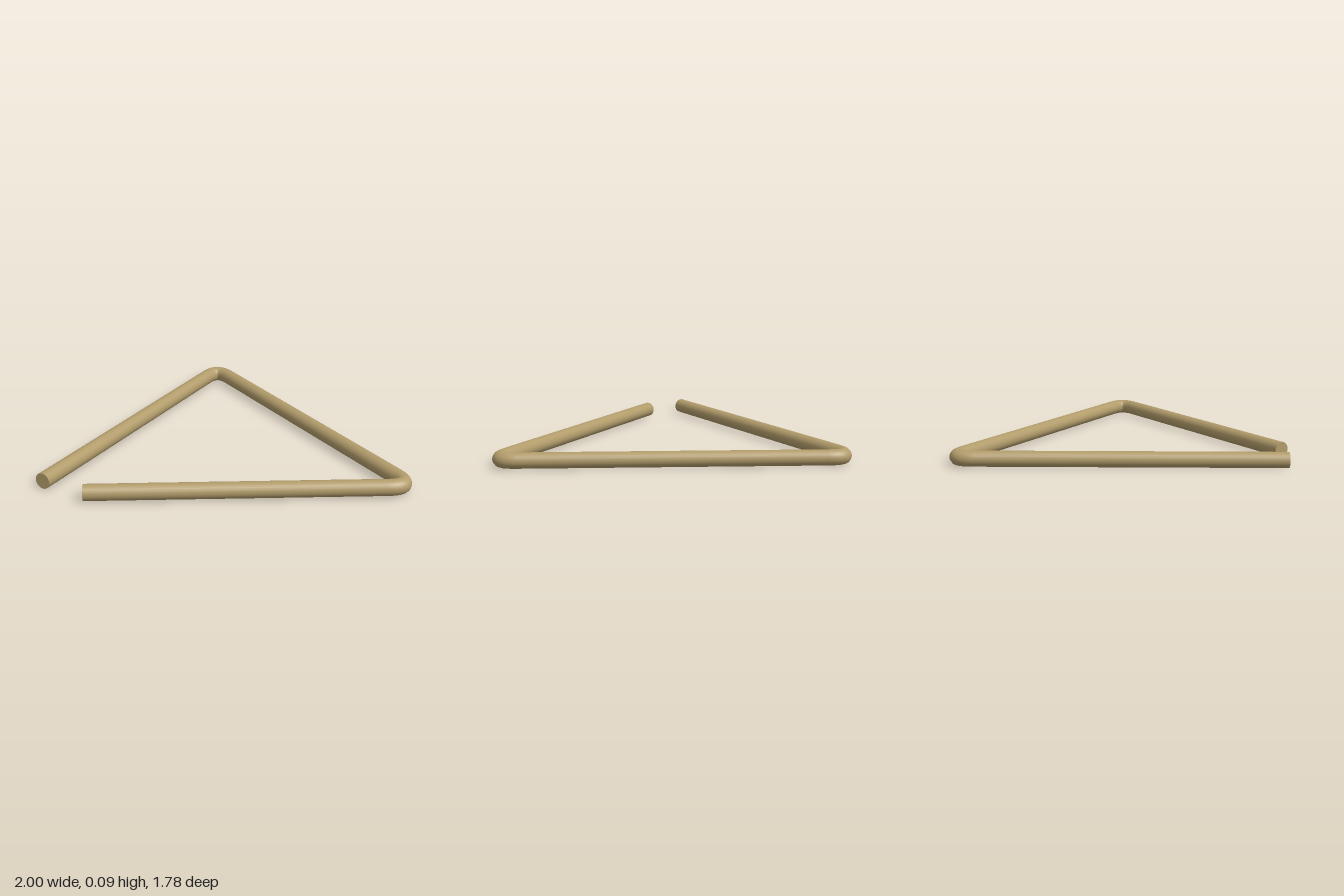
import * as THREE from 'three';

const R = 0.045;      // rod radius
const BEND = 0.14;    // distance from a corner at which the bend starts
const SIDES = 24;

export function createModel() {
  const group = new THREE.Group();
  group.name = 'triangleInstrument';
  const brass = new THREE.MeshStandardMaterial({ color: 0xb29c6b });
  brass.name = 'brass';

  const add = (geometry, name) => {
    const mesh = new THREE.Mesh(geometry, brass);
    mesh.name = name;
    group.add(mesh);
    return mesh;
  };
  const at = (x, z) => new THREE.Vector3(x, R, z);
  // point at distance d from a towards b
  const towards = (a, b, d) => a.clone().add(b.clone().sub(a).setLength(d));

  // centre line: open end, apex, corner, open end
  const points = [at(-0.962, 0.707), at(0.024, -0.906), at(0.996, 0.845), at(-0.737, 0.845)];
  const barNames = ['rightBar', 'leftBar', 'frontBar'];
  const bendNames = ['backBend', 'leftBend'];

  // straight bars
  for (let i = 0; i < 3; i++) {
    const a = points[i], b = points[i + 1];
    const start = i === 0 ? a : towards(a, b, BEND);
    const end = i === 2 ? b : towards(b, a, BEND);
    add(new THREE.TubeGeometry(new THREE.LineCurve3(start, end), 1, R, SIDES), barNames[i]);
  }

  // rounded bends
  for (let i = 1; i < 3; i++) {
    const p = points[i];
    const curve = new THREE.QuadraticBezierCurve3(
      towards(p, points[i - 1], BEND), p, towards(p, points[i + 1], BEND));
    add(new THREE.TubeGeometry(curve, 12, R, SIDES), bendNames[i - 1]);
  }

  // flat end caps
  const cap = (end, inner, name) => {
    const mesh = add(new THREE.CircleGeometry(R, SIDES), name);
    mesh.position.copy(end);
    mesh.lookAt(end.clone().multiplyScalar(2).sub(inner));
  };
  cap(points[0], points[1], 'rightBarEnd');
  cap(points[3], points[2], 'frontBarEnd');

  return group;
}
